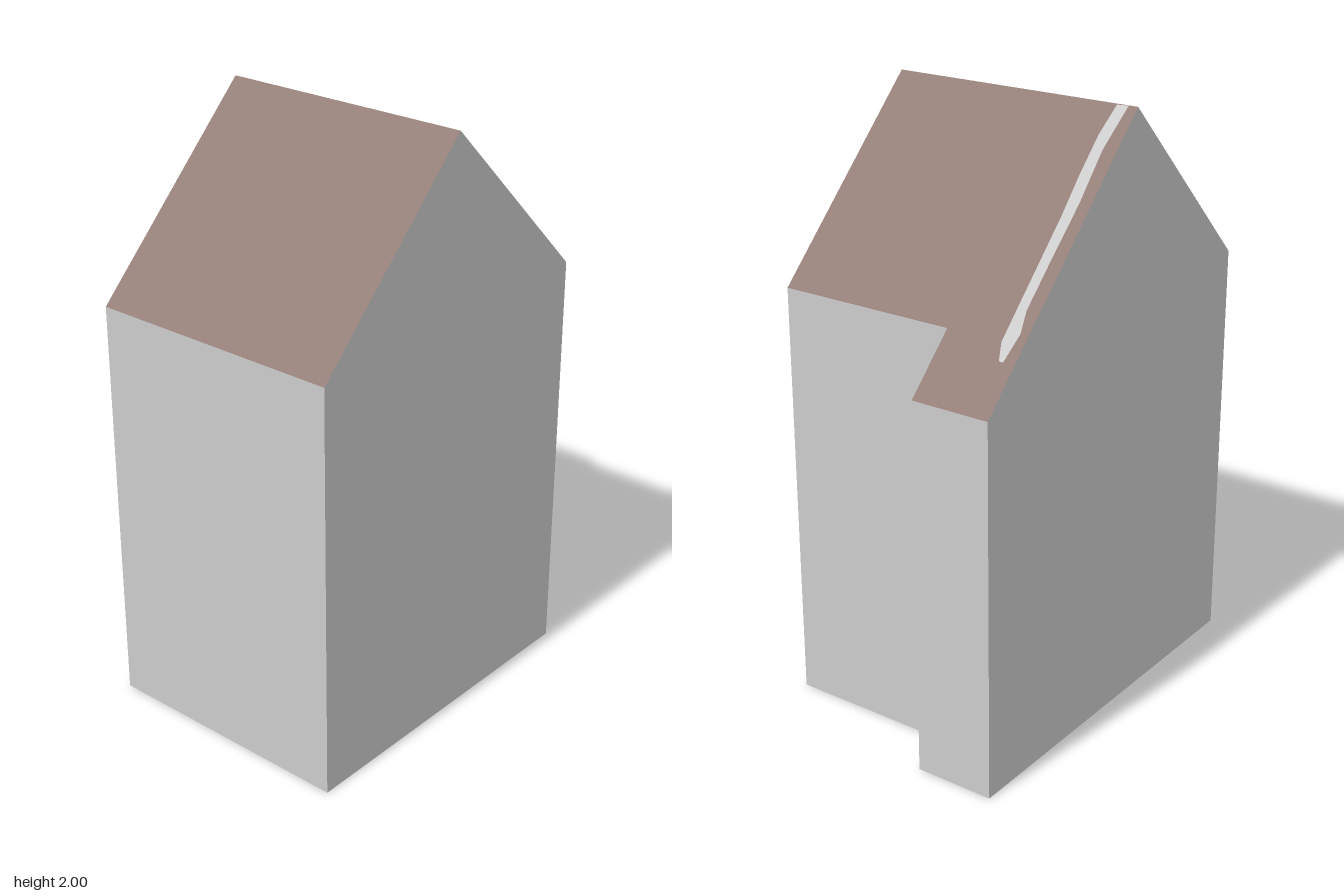
import * as THREE from 'three';

const RIDGE = -0.05;
const BACK = -0.447, FRONT = 0.447, STEP = -0.176;
const LEFT = -0.65, RIGHT = 0.535, FAR = 0.707;

// roof height above a point across the house
const roofY = (x) => 2 - (x < RIDGE ? 1 : 0.99) * Math.abs(x - RIDGE);

// flat outline [x, z], draped over a height rule; faces up unless flipped
function drape(outline, height, flip = false) {
  const shape = new THREE.Shape(outline.map(([x, z]) => new THREE.Vector2(x, -z)));
  let geo = new THREE.ShapeGeometry(shape);
  const pos = geo.attributes.position;
  for (let i = 0; i < pos.count; i++) {
    const x = pos.getX(i);
    pos.setXYZ(i, x, height(x), -pos.getY(i));
  }
  if (flip) geo.index.array.reverse();
  geo = geo.toNonIndexed();
  geo.computeVertexNormals();
  return geo;
}

// vertical walls along a closed footprint, reaching up to the roof
function wallsGeometry(outline) {
  const v = [];
  outline.forEach(([ax, az], i) => {
    const [bx, bz] = outline[(i + 1) % outline.length];
    const a = [ax, 0, az], b = [bx, 0, bz];
    const c = [bx, roofY(bx), bz], d = [ax, roofY(ax), az];
    v.push(...a, ...b, ...c, ...a, ...c, ...d);
  });
  const geo = new THREE.BufferGeometry();
  geo.setAttribute('position', new THREE.Float32BufferAttribute(v, 3));
  geo.computeVertexNormals();
  return geo;
}

export function createModel() {
  const wall = new THREE.MeshStandardMaterial({ color: 0xcccccc });
  wall.name = 'wallGrey';
  const roof = new THREE.MeshStandardMaterial({ color: 0x947f78 });
  roof.name = 'roofBrown';

  const house = new THREE.Group();
  house.name = 'house';
  house.rotation.y = 0.0925;
  const add = (name, geo, mat) => {
    const mesh = new THREE.Mesh(geo, mat);
    mesh.name = name;
    house.add(mesh);
  };

  // footprint with a stepped-out back corner, including both ridge ends
  const rightSide = [[RIDGE, FRONT], [RIGHT, FRONT], [RIGHT, STEP], [FAR, STEP], [FAR, BACK], [RIDGE, BACK]];
  const leftSide = [[LEFT, FRONT], [RIDGE, FRONT], [RIDGE, BACK], [LEFT, BACK]];
  const footprint = [[LEFT, FRONT], ...rightSide, [LEFT, BACK]];

  add('walls', wallsGeometry(footprint), wall);
  add('floor', drape(footprint, () => 0, true), wall);
  add('leftRoofSlope', drape(leftSide, roofY), roof);
  add('rightRoofSlope', drape(rightSide, roofY), roof);

  // ragged pale strip near the back edge of the right slope
  const strip = [
    [-0.045, -0.376], [0.034, -0.363], [0.134, -0.364], [0.235, -0.37], [0.386, -0.371],
    [0.537, -0.372], [0.579, -0.393], [0.58, -0.408], [0.511, -0.42], [0.459, -0.404],
    [0.339, -0.405], [0.199, -0.408], [0.067, -0.4], [-0.047, -0.416],
  ];
  add('roofStrip', drape(strip, (x) => roofY(x) + 0.003), wall);

  const model = new THREE.Group();
  model.name = 'building';
  model.add(house);
  return model;
}
